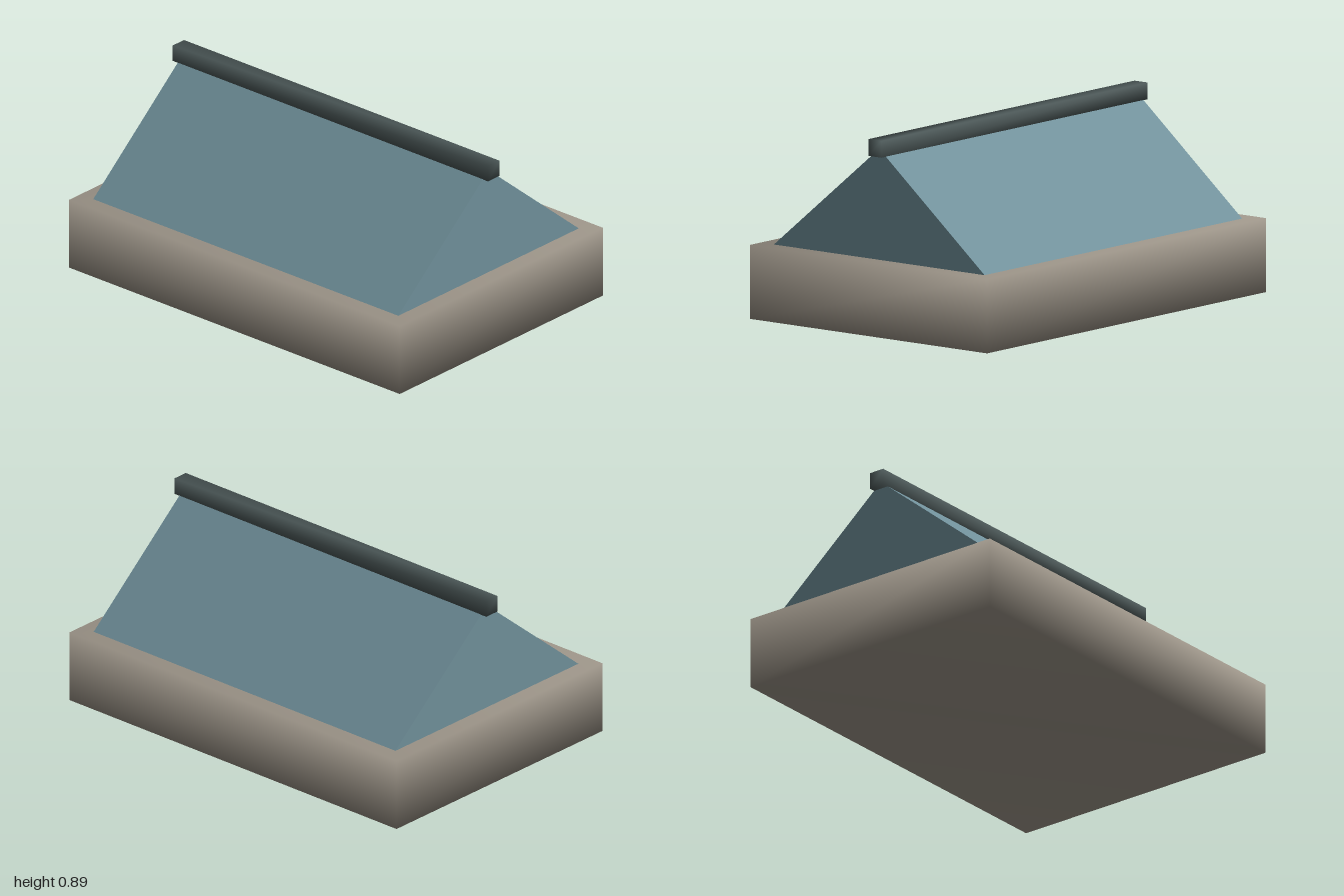
import * as THREE from 'three';
import { mergeVertices } from 'three/addons/utils/BufferGeometryUtils.js';

// Box whose corners share one normal, so shading rolls smoothly over the edges
function softBox(w, h, d) {
  const box = new THREE.BoxGeometry(w, h, d);
  box.deleteAttribute('normal');
  box.deleteAttribute('uv');
  const geometry = mergeVertices(box);
  geometry.computeVertexNormals();
  return geometry;
}

function makeMaterial(name, color) {
  const material = new THREE.MeshStandardMaterial({ color });
  material.name = name;
  return material;
}

export function createModel() {
  const model = new THREE.Group();
  model.name = 'gabledSkylight';

  const add = (name, geometry, material, y) => {
    const mesh = new THREE.Mesh(geometry, material);
    mesh.name = name;
    mesh.position.y = y;
    model.add(mesh);
  };

  // Curb at the bottom
  add('curb', softBox(2, 0.34, 1.384), makeMaterial('warmGrey', 0x9c9488), 0.17);

  // Glazed gable: triangular section run along x
  const length = 1.846;
  const section = new THREE.Shape([
    new THREE.Vector2(-0.617, 0),
    new THREE.Vector2(0.617, 0),
    new THREE.Vector2(0, 0.513),
  ]);
  const gable = new THREE.ExtrudeGeometry(section, { depth: length, bevelEnabled: false });
  gable.translate(0, 0, -length / 2).rotateY(Math.PI / 2);
  add('glazedGable', gable, makeMaterial('blueGlass', 0x6f8f99), 0.338);

  // Ridge cap, overhanging the gable a little at both ends
  add('ridgeCap', softBox(1.908, 0.077, 0.077), makeMaterial('darkSlate', 0x4a5656), 0.8565);

  return model;
}
